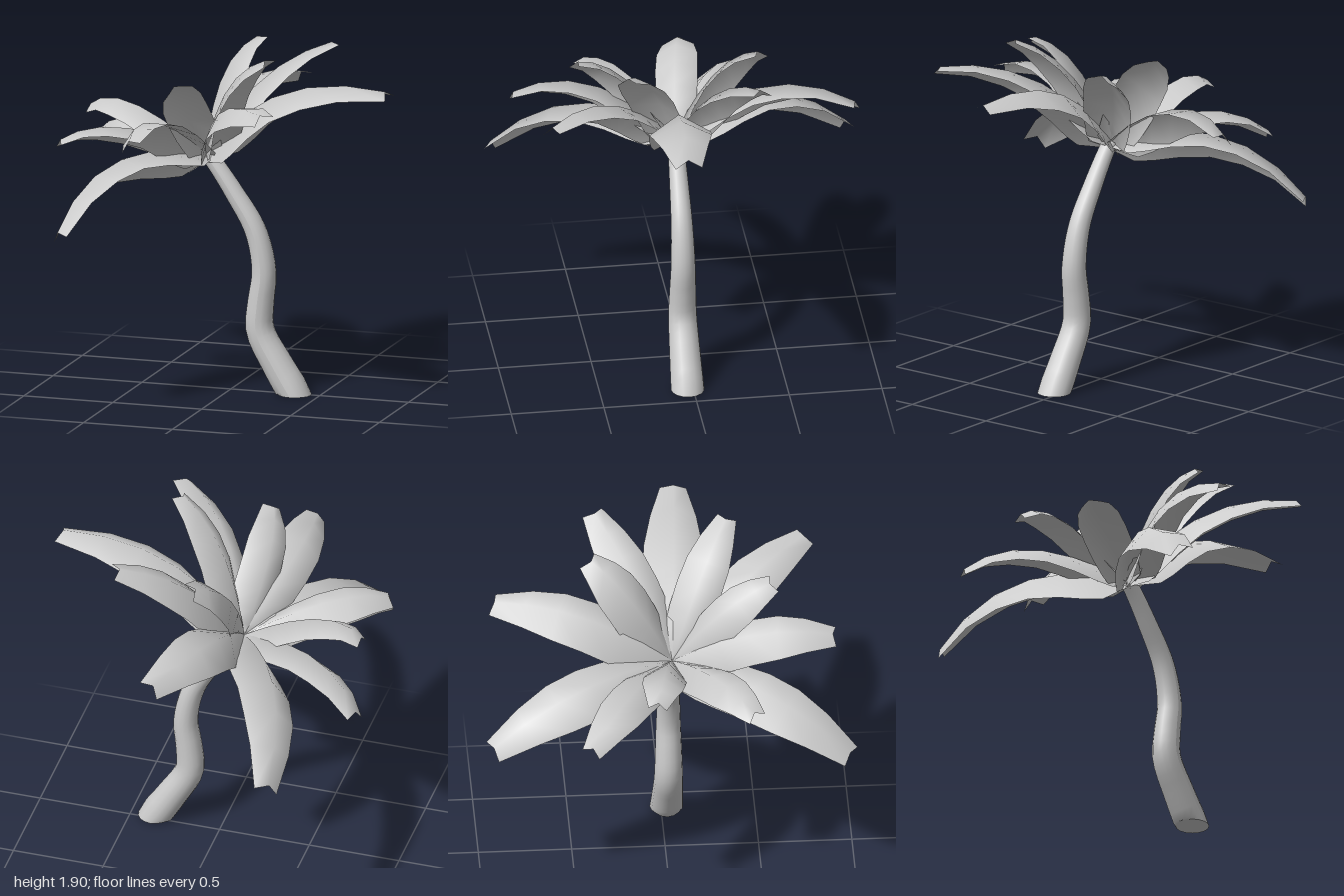
import * as THREE from 'three';

const V = (x, y, z) => new THREE.Vector3(x, y, z);
const CROWN = V(-0.13, 1.285, 0.03);
const UP = V(-0.5, 0.85, 0).normalize(); // the crown leans with the trunk

// Curved trunk: a tube whose rings shrink towards the top
function makeTrunk(material) {
  const path = new THREE.CatmullRomCurve3([
    V(0.37, 0, 0.03), V(0.27, 0.16, 0.03), V(0.175, 0.34, 0.03), V(0.18, 0.5, 0.03),
    V(0.197, 0.66, 0.03), V(0.15, 0.88, 0.03), V(0.03, 1.08, 0.03), V(-0.06, 1.21, 0.03), V(-0.115, 1.28, 0.03),
  ]);
  const rings = 28, sides = 16;
  const geo = new THREE.TubeGeometry(path, rings, 1, sides);
  const pos = geo.attributes.position;
  for (let i = 0; i <= rings; i++) {
    const c = path.getPointAt(i / rings);
    const r = 0.09 - 0.047 * (i / rings);
    for (let j = 0; j <= sides; j++) {
      const k = i * (sides + 1) + j;
      const p = V().fromBufferAttribute(pos, k).sub(c).multiplyScalar(r).add(c);
      if (i === 0) { // flat foot on the ground
        p.x = c.x + (p.x - c.x) / path.getTangentAt(0).y;
        p.y = 0;
      }
      pos.setXYZ(k, p.x, p.y, p.z);
    }
  }
  geo.computeVertexNormals();
  const trunk = new THREE.Group();
  trunk.name = 'trunk';
  const stem = new THREE.Mesh(geo, material);
  stem.name = 'trunkStem';
  const foot = new THREE.Mesh(new THREE.CircleGeometry(0.09, sides), material);
  foot.name = 'trunkFoot';
  foot.rotation.x = Math.PI / 2;
  foot.position.set(0.37, 0, 0.03);
  trunk.add(stem, foot);
  return trunk;
}

// Along the blade: [t, share of full width, droop of the edges]
const PROFILE = [
  [0, 0, 0], [0.1, 0.74, 0.95], [0.18, 0.87, 0.9], [0.3, 0.97, 0.76],
  [0.46, 1, 0.62], [0.64, 0.96, 0.54], [0.82, 0.75, 0.48], [1, 0.43, 0.45],
];

// Folded blade: roof-shaped cross-sections lofted along a bending spine
function makeFrond([x, y, z, rise, width], material) {
  const tip = V(x, y, z);
  const ctrl = CROWN.clone().lerp(tip, 0.5).addScaledVector(UP, rise * 2);
  const root = CROWN.clone().addScaledVector(ctrl.clone().sub(CROWN).normalize(), -0.06);
  const spine = new THREE.QuadraticBezierCurve3(root, ctrl, tip);
  const side = tip.clone().sub(CROWN).cross(UP).normalize();
  const verts = [], index = [];
  PROFILE.forEach(([t, w, droop], i) => {
    const c = spine.getPoint(t), along = spine.getTangent(t);
    const normal = side.clone().cross(along).normalize();
    const half = width * w / 2;
    [-1, 0, 1].forEach((s, j) => {
      const p = c.clone().addScaledVector(side, s * half)
        .addScaledVector(normal, -half * droop * Math.abs(s));
      // notched tip
      if (t === 1) p.addScaledVector(along, s === 0 ? -0.02 : 0.01);
      verts.push(p.x, p.y, p.z);
      if (i > 0 && j > 0) {
        const d = i * 3 + j, a = d - 3;
        index.push(a - 1, a, d, a - 1, d, d - 1);
      }
    });
  });
  const geo = new THREE.BufferGeometry();
  geo.setAttribute('position', new THREE.Float32BufferAttribute(verts, 3));
  geo.setIndex(index);
  geo.computeVertexNormals();
  const frond = new THREE.Mesh(geo, material);
  frond.name = 'frond';
  return frond;
}

// Tip x, y, z, arch height, blade width
const FRONDS = [
  [-0.56, 1.04, -0.965, 0.2, 0.32],
  [0.11, 1.54, -0.925, 0.18, 0.3],
  [0.03, 1.85, -0.41, 0.12, 0.27],
  [0.47, 1.86, -0.36, 0.11, 0.27],
  [0.92, 1.71, 0.1, 0.185, 0.33],
  [0.32, 1.9, 0.35, 0.11, 0.25],
  [0.43, 1.69, 0.78, 0.15, 0.28],
  [-0.13, 1.77, 0.57, 0.12, 0.24],
  [-0.28, 1.52, 0.9, 0.165, 0.27],
  [-0.665, 1.0, 0.965, 0.2, 0.31],
  [-0.83, 1.39, 0.44, 0.13, 0.24],
  [-0.83, 1.47, -0.09, 0.17, 0.23],
  [-0.9, 1.24, -0.45, 0.155, 0.25],
];

export function createModel() {
  const model = new THREE.Group();
  model.name = 'palmTree';
  const bark = new THREE.MeshStandardMaterial({ color: 0xcccccc });
  const leaf = new THREE.MeshStandardMaterial({ color: 0xcccccc, side: THREE.DoubleSide });
  const crown = new THREE.Group();
  crown.name = 'crown';
  FRONDS.forEach((f) => crown.add(makeFrond(f, leaf)));
  model.add(makeTrunk(bark), crown);
  return model;
}
